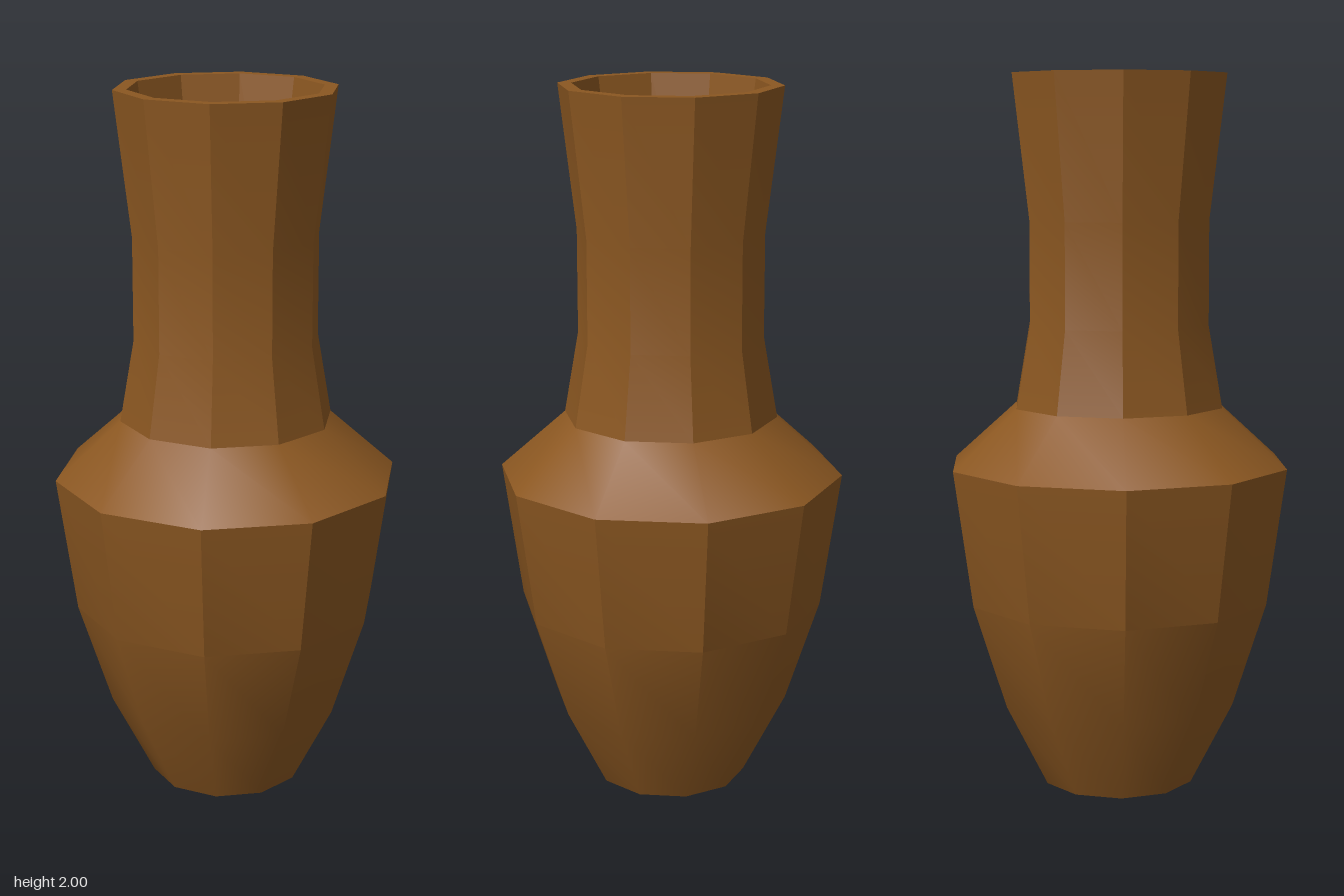
import * as THREE from 'three';
import { toCreasedNormals } from 'three/addons/utils/BufferGeometryUtils.js';

const SIDES = 10;

export function createModel() {
  const group = new THREE.Group();
  group.name = 'vase';
  const material = new THREE.MeshStandardMaterial({ color: 0x8b5721 });

  // Revolves a [radius, height] profile into a ten-sided shell with corners on the x axis
  const revolve = (name, profile) => {
    const points = profile.map(([r, y]) => new THREE.Vector2(r, y));
    const lathe = new THREE.LatheGeometry(points, SIDES, Math.PI / 2);
    // Steep facets stay sharp, the gently curved foot and shoulder blend
    const mesh = new THREE.Mesh(toCreasedNormals(lathe, THREE.MathUtils.degToRad(34.9)), material);
    mesh.name = name;
    group.add(mesh);
  };

  // Base, swelling belly and sloped shoulder
  revolve('body', [[0, 0], [0.215, 0], [0.335, 0.235], [0.43, 0.53], [0.485, 0.915], [0.3, 1.08]]);

  // Waisted neck, flat rim, then the tapering hollow and its floor
  revolve('neck', [[0.3, 1.08], [0.26, 1.31], [0.26, 1.6], [0.308, 2], [0.27, 2], [0.19, 1.45], [0, 1.45]]);

  return group;
}
